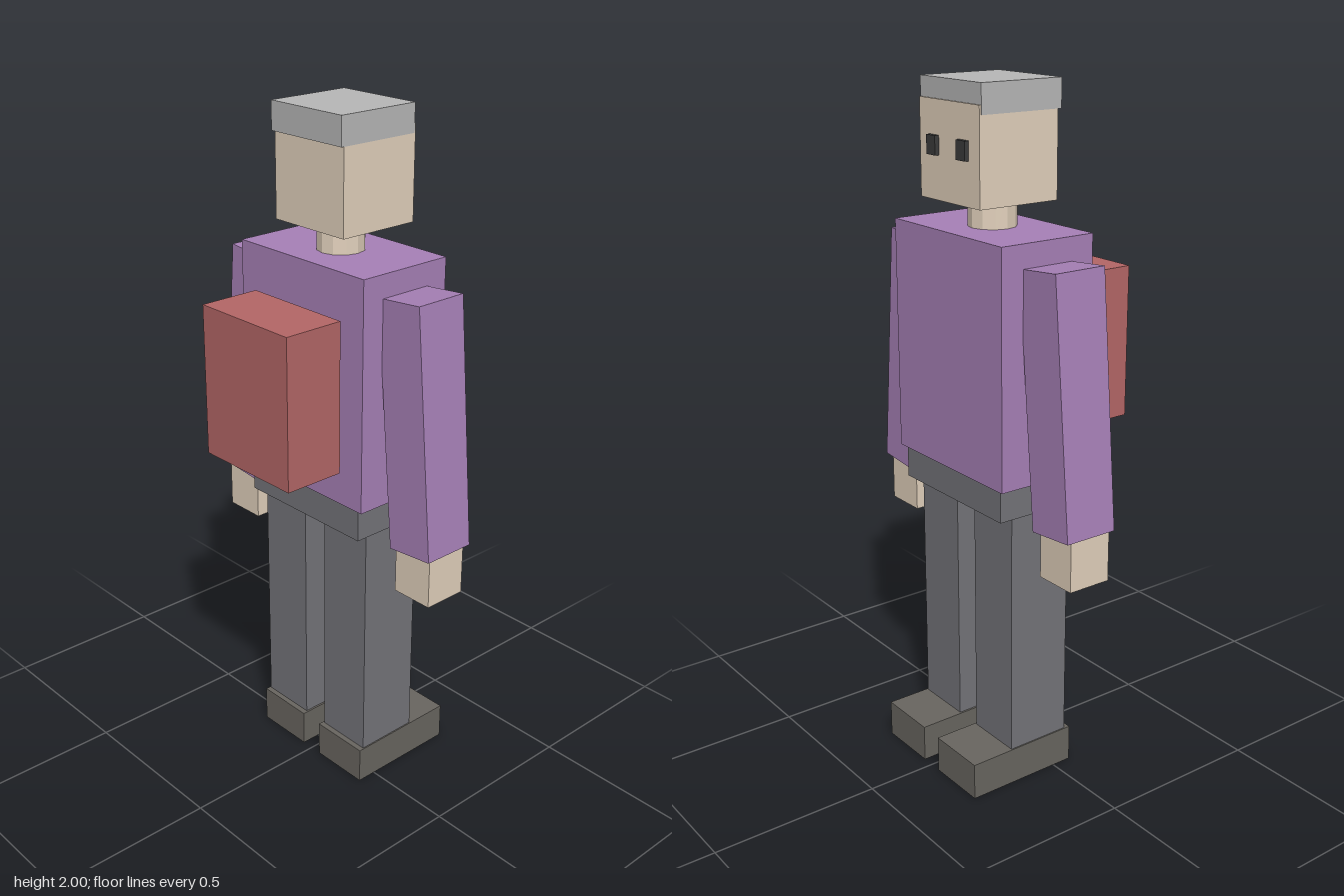
import * as THREE from 'three';

export function createModel() {
  const model = new THREE.Group();
  model.name = 'figure';

  const paint = (color) => new THREE.MeshStandardMaterial({ color, flatShading: true });
  const skin = paint(0xe3d2bd);
  const shirt = paint(0xa881b8);
  const trousers = paint(0x75757a);
  const shoeMat = paint(0x696660);
  const packMat = paint(0xb56767);
  const hair = paint(0xb8b8b8);
  const eyeMat = paint(0x3c3c3c);

  // Box given by its lower and upper limits on each axis
  function box(name, material, [x0, x1], [y0, y1], [z0, z1]) {
    const mesh = new THREE.Mesh(new THREE.BoxGeometry(x1 - x0, y1 - y0, z1 - z0), material);
    mesh.position.set((x0 + x1) / 2, (y0 + y1) / 2, (z0 + z1) / 2);
    mesh.name = name;
    model.add(mesh);
    return mesh;
  }

  // Head, flat hair and neck
  box('head', skin, [-0.135, 0.135], [1.68, 1.945], [-0.195, 0.06]);
  box('hair', hair, [-0.137, 0.137], [1.92, 2], [-0.19, 0.07]);
  const neck = new THREE.Mesh(new THREE.CylinderGeometry(0.068, 0.068, 0.11, 12), skin);
  neck.name = 'neck';
  neck.position.set(0, 1.645, -0.055);
  model.add(neck);

  // Trunk and backpack
  box('torso', shirt, [-0.247, 0.247], [0.935, 1.605], [-0.21, 0.092]);
  box('hips', trousers, [-0.227, 0.227], [0.84, 0.94], [-0.2, 0.084]);
  box('backpack', packMat, [-0.174, 0.174], [1.038, 1.478], [0.105, 0.29]);

  // Paired parts
  for (const side of [-1, 1]) {
    const prefix = side > 0 ? 'left' : 'right';
    const span = (a, b) => (side > 0 ? [a, b] : [-b, -a]);

    box(prefix + 'Eye', eyeMat, span(0.047, 0.087), [1.8, 1.852], [-0.208, -0.185]);
    box(prefix + 'Leg', trousers, span(0.042, 0.217), [0.1, 0.85], [-0.154, 0.043]);
    box(prefix + 'Shoe', shoeMat, span(0.036, 0.221), [0, 0.11], [-0.29, 0.06]);
    box(prefix + 'Hand', skin, span(0.304, 0.434), [0.688, 0.85], [-0.122, 0.01]);

    // Sleeve leans outward from the shoulder
    const arm = box(prefix + 'Arm', shirt, span(0.261, 0.41), [0.827, 1.545], [-0.14, 0.022]);
    arm.rotation.z = side * 0.088;
  }

  return model;
}
